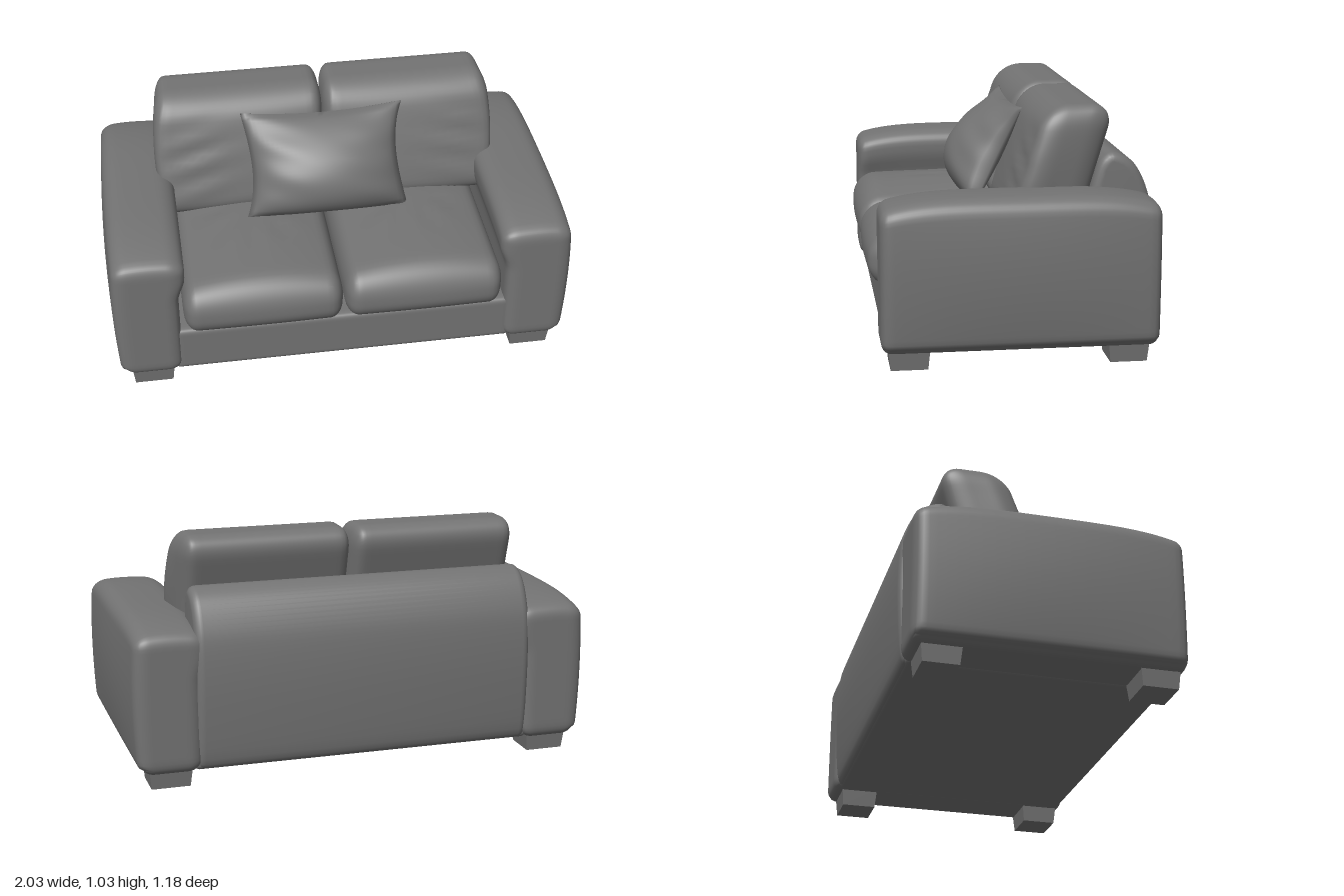
import * as THREE from 'three';
import { mergeVertices, toCreasedNormals } from 'three/addons/utils/BufferGeometryUtils.js';

const fabric = new THREE.MeshStandardMaterial({ color: 0x737373 });
fabric.name = 'grey fabric';

// Weld a geometry's corners and give it smooth normals
function smooth(geo) {
  geo.deleteAttribute('normal');
  geo.deleteAttribute('uv');
  const welded = mergeVertices(geo, 1e-5);
  welded.computeVertexNormals();
  return welded;
}

// Upholstered block: half sizes, rounding radius per axis, and a rule that
// moves each point p, given n = its place in the block from -1 to 1
function softBlock(half, radius, rule) {
  const geo = new THREE.BoxGeometry(2, 2, 2, 28, 28, 28);
  const pos = geo.attributes.position;
  const p = new THREE.Vector3(), n = new THREE.Vector3(), d = new THREE.Vector3();
  for (let i = 0; i < pos.count; i++) {
    p.fromBufferAttribute(pos, i);
    // crowd the grid towards the edges
    for (const a of ['x', 'y', 'z']) p[a] = Math.sin(p[a] * Math.PI / 2);
    p.multiply(half);
    const q = p.clone();
    for (const a of ['x', 'y', 'z']) {
      const inner = half[a] - radius[a];
      q[a] = THREE.MathUtils.clamp(p[a], -inner, inner);
    }
    d.subVectors(p, q).divide(radius).normalize();
    p.copy(q).add(d.multiply(radius));
    n.copy(p).divide(half);
    if (rule) rule(p, n);
    pos.setXYZ(i, p.x, p.y, p.z);
  }
  return smooth(geo);
}

const v = (x, y, z) => new THREE.Vector3(x, y, z);
const hump = (t) => Math.max(0, 1 - t * t);

export function createModel() {
  const group = new THREE.Group();
  group.name = 'sofa';
  const add = (name, geo, x = 0, y = 0, z = 0) => {
    const mesh = new THREE.Mesh(geo, fabric);
    mesh.name = name;
    mesh.position.set(x, y, z);
    group.add(mesh);
    return mesh;
  };

  // Base under the seat
  add('base', softBlock(v(0.75, 0.11, 0.545), v(0.02, 0.025, 0.025)), 0, 0.18, -0.01);

  // Backrest: a rounded profile drawn across z and y, extruded along x
  const outline = new THREE.SplineCurve([
    [-0.54, 0.075], [-0.572, 0.12], [-0.59, 0.38], [-0.585, 0.58], [-0.562, 0.69],
    [-0.51, 0.785], [-0.44, 0.828], [-0.39, 0.82], [-0.35, 0.75], [-0.31, 0.55], [-0.28, 0.2],
  ].map(([z, y]) => new THREE.Vector2(z, y)));
  const profile = new THREE.Shape([...outline.getPoints(50), new THREE.Vector2(-0.28, 0.075)]);
  const bevel = 0.035;
  const back = new THREE.ExtrudeGeometry(profile, {
    depth: 1.48 - 2 * bevel, steps: 1, bevelEnabled: true,
    bevelSize: bevel, bevelOffset: -bevel, bevelThickness: bevel, bevelSegments: 5,
  });
  back.rotateY(-Math.PI / 2);
  back.translate(0.74 - bevel, 0, 0);
  add('backrest', toCreasedNormals(back, 0.7));

  for (const s of [1, -1]) {
    const side = s > 0 ? 'left' : 'right';

    // Arm: crowned along its length, bulging outwards, overhanging inside at the top
    const arm = softBlock(v(0.135, 0.318, 0.568), v(0.06, 0.055, 0.04), (p, n) => {
      const out = n.x * s;
      if (n.y > 0) p.y -= 0.045 * n.y * Math.pow(Math.abs(n.z), 4);
      if (n.y > 0) p.y -= 0.012 * n.y * n.x * n.x;
      if (out > 0) p.x += s * out * 0.03 * hump(n.y * 0.95 - 0.1) * (0.4 + 0.6 * hump(n.z));
      else p.x += s * out * 0.032 * THREE.MathUtils.smoothstep(n.y, 0.25, 0.7);
      if (n.y < -0.9) p.x -= s * Math.max(0, out) * 0.01;
    });
    add(side + 'Arm', arm, s * 0.852, 0.388, -0.012);

    // Seat cushion: crowned top, full front, folds fanning out from the middle
    const seat = softBlock(v(0.348, 0.115, 0.46), v(0.06, 0.1, 0.09), (p, n) => {
      if (n.y > 0) {
        const crown = hump(n.x) * (0.55 + 0.45 * hump((n.z + 0.1) * 0.9));
        p.y += n.y * 0.05 * crown;
        const a = Math.atan2(n.x, n.z + 0.25), r = Math.hypot(n.x, n.z + 0.25);
        p.y += 0.005 * n.y * Math.sin(a * 9 + s) * Math.exp(-Math.pow((r - 0.45) / 0.25, 2));
      }
      if (n.z > 0) p.z += 0.022 * n.z * hump(n.y) * (0.5 + 0.5 * hump(n.x));
    });
    add(side + 'SeatCushion', seat, s * 0.352, 0.385, 0.112);

    // Back cushion: leaning backwards, plump in front, with slanting creases
    const cushion = softBlock(v(0.37, 0.27, 0.145), v(0.05, 0.1, 0.1), (p, n) => {
      p.z -= 0.3 * p.y;
      if (n.z > 0) {
        p.z += 0.018 * n.z * hump(n.x) * hump(n.y);
        const fold = Math.sin(n.y * 14 + n.x * s * 5) * Math.exp(-Math.pow((n.x * s - 0.5) / 0.35, 2));
        p.z += 0.006 * n.z * fold * hump(n.y - 0.1) * (n.y < 0.4 ? 1 : 0.3);
      }
      // outer side flares towards the front
      if (n.x * s > 0) p.x += s * 0.025 * n.x * s * n.z * hump(n.y);
      if (n.x * s > 0) p.x += s * 0.015 * hump(n.y);
    });
    add(side + 'BackCushion', cushion, s * 0.372 + 0.008, 0.76, -0.207);

    // Feet: short tapered blocks
    for (const [end, z] of [['Front', 0.442], ['Rear', -0.455]]) {
      const foot = new THREE.BoxGeometry(0.184, 0.085, 0.168);
      const pos = foot.attributes.position;
      for (let i = 0; i < pos.count; i++) {
        if (pos.getY(i) < 0) pos.setXYZ(i, pos.getX(i) * 0.9, pos.getY(i), pos.getZ(i) * 0.9);
      }
      foot.computeVertexNormals();
      add(side + end + 'Foot', foot, s * 0.848, 0.0425, z);
    }
  }

  // Throw pillow: two bulging faces meeting at a pinched seam
  const pillow = new THREE.BoxGeometry(2, 2, 2, 36, 30, 1);
  const pos = pillow.attributes.position;
  for (let i = 0; i < pos.count; i++) {
    const x = pos.getX(i), y = pos.getY(i), front = pos.getZ(i) > 0;
    const plump = Math.pow(hump(x) * hump(y), 0.55);
    const bulge = front ? 0.155 * (1 - 0.35 * y) : -0.06;
    const fold = front ? 0.006 * Math.sin(y * 11 + x * 4) * Math.pow(Math.abs(x), 2) * hump(x) * 2 : 0;
    pos.setXYZ(i,
      x * 0.362 * (1 - 0.1 * hump(y)) - 0.012 * y * hump(y),
      y * 0.235 * (1 - 0.1 * hump(x) * (y > 0 ? 1 : -0.2)),
      plump * bulge + fold);
  }
  const throwPillow = add('throwPillow', smooth(pillow), -0.01, 0.757, 0.005);
  throwPillow.rotation.x = -0.46;

  return group;
}
